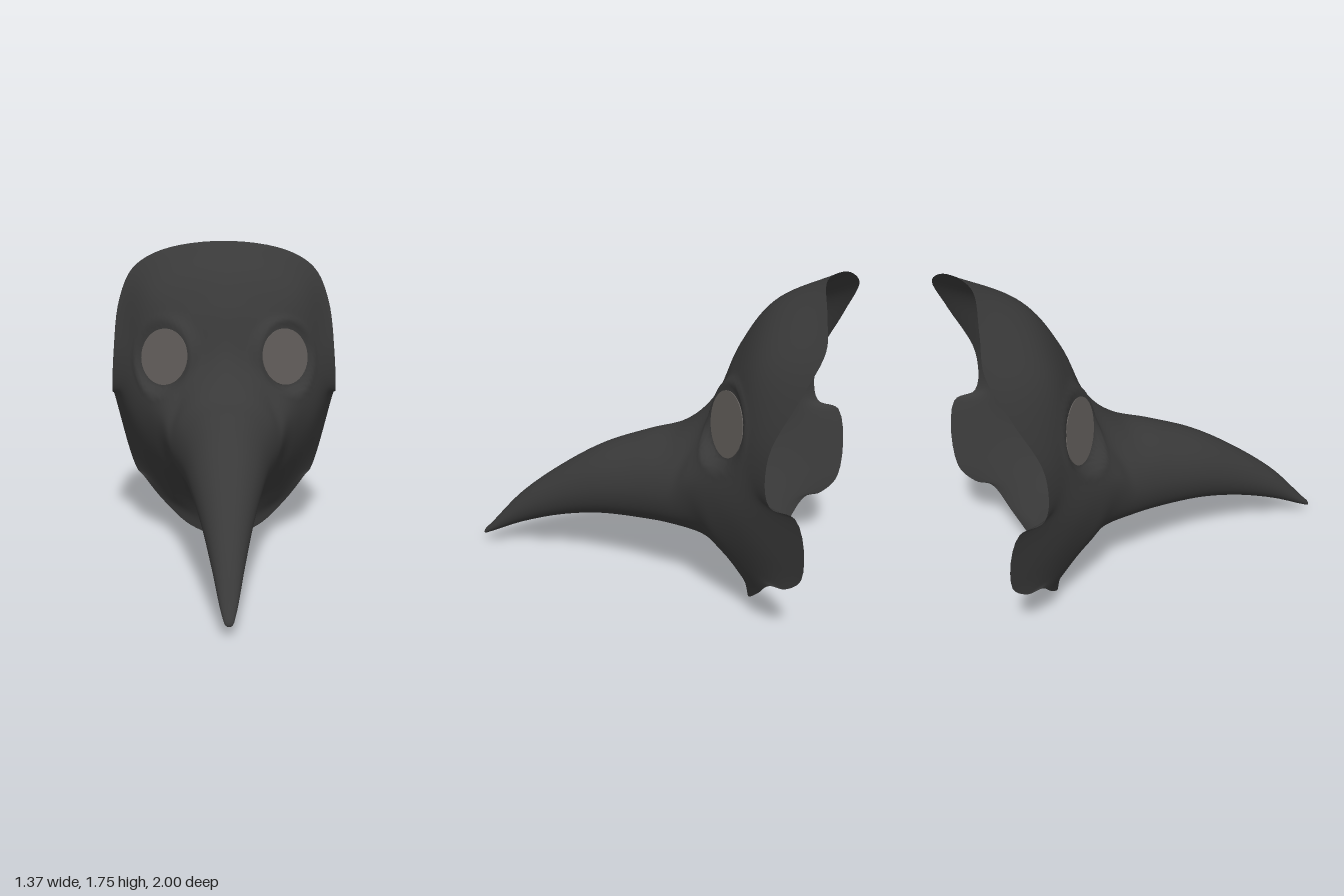
import * as THREE from 'three';

const V = (x, y, z) => new THREE.Vector3(x, y, z);

// Half rings run from top centre to bottom centre and are mirrored later.
// Open back rim with the strap notch at each side
const rim = [
  [0, 1.755, -0.91], [0.38, 1.7, -0.97], [0.56, 1.59, -1], [0.64, 1.4, -0.92], [0.667, 1.1, -0.79],
  [0.68, 0.86, -0.81], [0.68, 0.82, -0.93], [0.59, 0.45, -0.965], [0.54, 0.35, -0.88], [0.5, 0.33, -0.8],
  [0.38, 0.2, -0.72], [0.2, 0.055, -0.635], [0, 0, -0.6],
];
// Forehead, temples and jaw
const temples = [
  [0, 1.62, -0.65], [0.42, 1.47, -0.68], [0.53, 1.1, -0.65], [0.55, 0.76, -0.65],
  [0.43, 0.41, -0.65], [0.27, 0.2, -0.62], [0, 0.08, -0.58],
];
// Brow, eyes and cheekbones
const cheeks = [
  [0, 1.4, -0.5], [0.25, 1.3, -0.51], [0.37, 1.08, -0.5], [0.43, 0.77, -0.45],
  [0.37, 0.48, -0.48], [0.21, 0.29, -0.51], [0, 0.2, -0.52],
];
// Beak root
const beakRoot = [
  [0, 1.1, -0.375], [0.14, 1.05, -0.38], [0.25, 0.94, -0.36], [0.35, 0.76, -0.32],
  [0.32, 0.54, -0.36], [0.18, 0.37, -0.39], [0, 0.31, -0.4],
];
// Oval beak sections: z, top y, bottom y, half width
const beak = [
  [-0.2, 0.92, 0.355, 0.3], [0, 0.845, 0.35, 0.24], [0.25, 0.735, 0.33, 0.187], [0.5, 0.57, 0.27, 0.132],
  [0.75, 0.36, 0.175, 0.08], [0.95, 0.13, 0.075, 0.034], [0.995, 0.08, 0.056, 0.016], [1, 0.066, 0.066, 0],
];

const COLS = 144, STEPS = 10;
const EYE = V(0.35, 1.1, -0.522);
const EYE_NORMAL = V(0.61, 0.14, 0.77).normalize();

// Half of an oval beak section
function ovalHalf([z, top, bottom, w]) {
  return Array.from({ length: 7 }, (_, i) => {
    const a = (Math.PI * i) / 6;
    return [w * Math.sin(a), (top + bottom) / 2 + ((top - bottom) / 2) * Math.cos(a), z];
  });
}

// Mirror a half ring into a closed curve
function closedRing(half) {
  const points = half.map((p) => V(...p));
  const mirrored = points.slice(1, -1).reverse().map((p) => V(-p.x, p.y, p.z));
  return new THREE.CatmullRomCurve3([...points, ...mirrored], true);
}

// Flatten a socket around each eye and raise a soft lip around it
function shapeSocket(p) {
  const side = p.x < 0 ? -1 : 1;
  const q = V(Math.abs(p.x), p.y, p.z).sub(EYE);
  const h = q.dot(EYE_NORMAL);
  const r = q.clone().addScaledVector(EYE_NORMAL, -h).length();
  if (Math.abs(h) > 0.2 || r > 0.27) return p;
  const flat = 1 - THREE.MathUtils.smoothstep(r, 0.18, 0.235);
  const lip = 0.012 * Math.exp(-(((r - 0.212) / 0.02) ** 2));
  q.addScaledVector(EYE_NORMAL, lip - h * flat).add(EYE);
  return p.set(q.x * side, q.y, q.z);
}

// Loft smoothly from the rim, over the face, to the beak tip
function maskGeometry() {
  const rings = [rim, temples, cheeks, beakRoot, ...beak.map(ovalHalf)].map(closedRing);
  const rows = (rings.length - 1) * STEPS + 1;
  const positions = [], index = [];
  for (let c = 0; c < COLS; c++) {
    const spoke = new THREE.CatmullRomCurve3(rings.map((ring) => ring.getPoint(c / COLS)));
    for (let r = 0; r < rows; r++) {
      positions.push(...shapeSocket(spoke.getPoint(r / (rows - 1))).toArray());
      if (r === rows - 1) continue;
      const a = c * rows + r, b = ((c + 1) % COLS) * rows + r;
      index.push(a, a + 1, b, b, a + 1, b + 1);
    }
  }
  const g = new THREE.BufferGeometry();
  g.setAttribute('position', new THREE.Float32BufferAttribute(positions, 3));
  g.setIndex(index);
  g.computeVertexNormals();
  return g;
}

export function createModel() {
  const leather = new THREE.MeshStandardMaterial({ color: 0x393939, side: THREE.DoubleSide });
  leather.name = 'dark leather';
  const glass = new THREE.MeshStandardMaterial({ color: 0x625e5b });
  glass.name = 'smoky glass';

  const group = new THREE.Group();
  group.name = 'beakedMask';

  const shell = new THREE.Mesh(maskGeometry(), leather);
  shell.name = 'maskShell';
  group.add(shell);

  // Thin lenses, visible from outside and inside
  const lensGeometry = new THREE.CylinderGeometry(1, 1, 0.009, 48).rotateX(Math.PI / 2).scale(0.174, 0.163, 1);
  for (const side of [1, -1]) {
    const lens = new THREE.Mesh(lensGeometry, glass);
    lens.name = side > 0 ? 'leftLens' : 'rightLens';
    lens.position.set(EYE.x * side, EYE.y, EYE.z);
    lens.lookAt(lens.position.clone().add(V(EYE_NORMAL.x * side, EYE_NORMAL.y, EYE_NORMAL.z)));
    group.add(lens);
  }
  return group;
}
